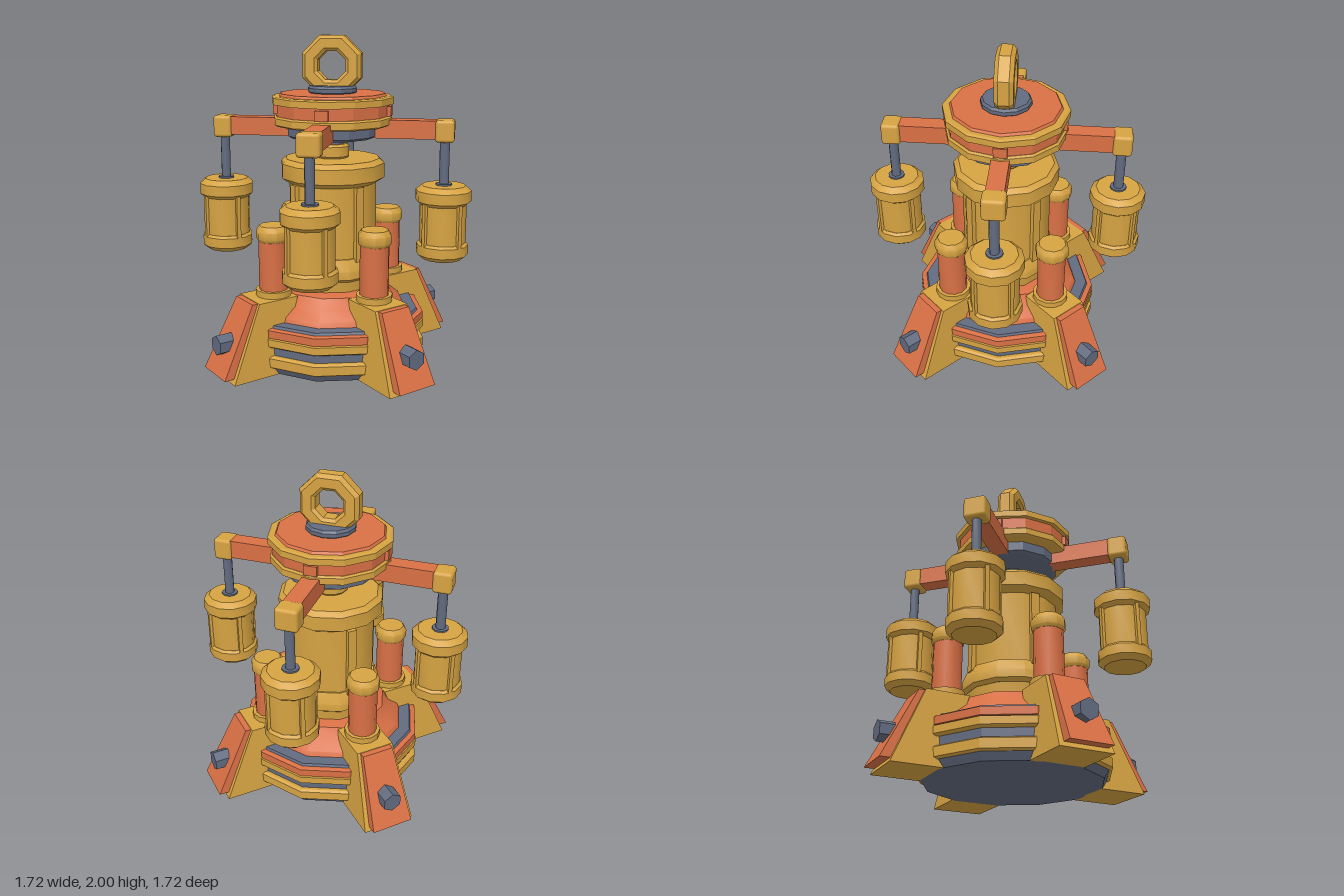
import * as THREE from 'three';
import { toCreasedNormals } from 'three/addons/utils/BufferGeometryUtils.js';
import { RoundedBoxGeometry } from 'three/addons/geometries/RoundedBoxGeometry.js';

const material = (name, color) => Object.assign(new THREE.MeshStandardMaterial({ color }), { name });
const SMOOTH = 0.6, FLAT = 0.2;

export function createModel() {
  const gold = material('gold', 0xd6a342);
  const orange = material('orange', 0xd97045);
  const steel = material('steel', 0x626b80);
  const model = new THREE.Group();
  model.name = 'clampMachine';

  const add = (parent, name, geometry, mat, x = 0, y = 0, z = 0) => {
    const mesh = new THREE.Mesh(geometry, mat);
    mesh.name = name;
    mesh.position.set(x, y, z);
    parent.add(mesh);
    return mesh;
  };
  // Closed turned part from [radius, height] pairs, bottom to top
  const turned = (points, sides = 12, crease = SMOOTH) => {
    const closed = [[0, points[0][1]], ...points, [0, points[points.length - 1][1]]];
    const lathe = new THREE.LatheGeometry(closed.map(([r, y]) => new THREE.Vector2(r, y)), sides);
    return toCreasedNormals(lathe, crease);
  };
  // Box whose bottom and top rectangles differ: { y, half, near, far }
  const wedge = (bottom, top) => {
    const g = new THREE.BoxGeometry(1, 1, 1);
    const p = g.attributes.position;
    for (let i = 0; i < p.count; i++) {
      const e = p.getY(i) < 0 ? bottom : top;
      p.setXYZ(i, Math.sign(p.getX(i)) * e.half, e.y, p.getZ(i) < 0 ? e.near : e.far);
    }
    g.computeVertexNormals();
    return g;
  };
  const around = (name, offset, build) => {
    for (let i = 0; i < 4; i++) {
      const group = new THREE.Group();
      group.name = name;
      group.rotation.y = offset + i * Math.PI / 2;
      build(group);
      model.add(group);
    }
  };

  // Stepped twelve-sided base
  const base = [
    ['baseFoot', steel, [[0.535, 0], [0.565, 0.05]]],
    ['baseLowerBand', gold, [[0.57, 0.045], [0.585, 0.055], [0.585, 0.11], [0.57, 0.12]]],
    ['baseGroove', steel, [[0.55, 0.12], [0.55, 0.18]]],
    ['baseUpperBand', gold, [[0.57, 0.175], [0.585, 0.185], [0.585, 0.23], [0.56, 0.238]]],
    ['baseOrangeBand', orange, [[0.58, 0.238], [0.58, 0.285], [0.56, 0.29]]],
    ['baseLedge', steel, [[0.55, 0.285], [0.54, 0.305]]],
  ];
  for (const [name, mat, points] of base) add(model, name, turned(points, 12, FLAT), mat);
  add(model, 'baseFlare', turned([[0.47, 0.3], [0.455, 0.335], [0.39, 0.39], [0.35, 0.45], [0.29, 0.465]]), orange);

  // Central body with collar and neck
  add(model, 'bodyFoot', turned([[0.28, 0.44], [0.29, 0.54]]), gold);
  add(model, 'bodyFlange', turned([[0.29, 0.53], [0.315, 0.55], [0.315, 0.6], [0.285, 0.67]]), gold);
  add(model, 'body', turned([[0.275, 0.65], [0.275, 1.13]]), gold);
  add(model, 'bodyCollar', turned([[0.28, 1.11], [0.325, 1.14], [0.325, 1.23], [0.295, 1.258]]), gold);
  add(model, 'neckCollar', turned([[0.09, 1.25], [0.105, 1.27], [0.105, 1.33], [0.09, 1.345]]), gold);
  add(model, 'neckShaft', turned([[0.075, 1.33], [0.075, 1.41]]), steel);
  around('bodyRib', Math.PI / 4, g => {
    add(g, 'bodyRibBar', new THREE.BoxGeometry(0.055, 0.46, 0.05), gold, 0, 0.88, 0.268);
  });

  // Head discs
  const head = [
    ['headUnderside', steel, [[0.26, 1.385], [0.285, 1.4], [0.285, 1.47]]],
    ['headLowerRing', gold, [[0.35, 1.46], [0.368, 1.47], [0.368, 1.51], [0.355, 1.52]]],
    ['headBand', orange, [[0.352, 1.51], [0.352, 1.6]]],
    ['headUpperRing', gold, [[0.378, 1.592], [0.378, 1.632], [0.365, 1.64]]],
    ['headTop', orange, [[0.338, 1.635], [0.325, 1.655]]],
    ['eyeSeat', steel, [[0.135, 1.65], [0.152, 1.662], [0.152, 1.685], [0.14, 1.7]]],
  ];
  for (const [name, mat, points] of head) add(model, name, turned(points, 12, FLAT), mat);

  // Octagonal lifting eye with bevelled edges
  const section = [[0.092, -0.04], [0.112, -0.056], [0.172, -0.056], [0.195, -0.032],
    [0.195, 0.032], [0.172, 0.056], [0.112, 0.056], [0.092, 0.04], [0.092, -0.04]];
  const eye = new THREE.LatheGeometry(section.map(([r, y]) => new THREE.Vector2(r, y)), 8);
  eye.rotateY(Math.PI / 8).rotateX(Math.PI / 2);
  add(model, 'liftingEye', toCreasedNormals(eye, FLAT), gold, 0, 1.82, 0);

  // Four arms, each with a hanging canister
  const podR = 0.69;
  around('arm', 0, g => {
    add(g, 'headStud', new THREE.BoxGeometry(0.08, 0.06, 0.06), orange, 0, 1.55, 0.335);
    add(g, 'armBeam', new THREE.BoxGeometry(0.105, 0.112, 0.42), orange, 0, 1.444, 0.45);
    add(g, 'armJoint', new RoundedBoxGeometry(0.135, 0.135, 0.115, 2, 0.02), gold, 0, 1.438, podR);
    const pod = new THREE.Group();
    pod.name = 'canister';
    pod.position.z = podR;
    g.add(pod);
    add(pod, 'hangerRod', turned([[0.03, 1.09], [0.03, 1.39]], 8, 0.8), steel);
    add(pod, 'hangerFoot', turned([[0.05, 1.095], [0.05, 1.115]]), steel);
    add(pod, 'canisterLid', turned([[0.14, 0.985], [0.17, 1.01], [0.17, 1.075], [0.135, 1.105]]), gold);
    add(pod, 'canisterBody', turned([[0.143, 0.73], [0.143, 1]]), gold);
    add(pod, 'canisterBottom', turned([[0.125, 0.645], [0.16, 0.675], [0.16, 0.735], [0.145, 0.75]]), gold);
    for (let i = 0; i < 4; i++) {
      const a = Math.PI / 4 + i * Math.PI / 2;
      const rib = add(pod, 'canisterRib', new THREE.BoxGeometry(0.026, 0.27, 0.03), gold,
        Math.sin(a) * 0.142, 0.867, Math.cos(a) * 0.142);
      rib.rotation.y = a;
    }
  });

  // Four diagonal legs with armour plate, bolt and post
  around('leg', Math.PI / 4, g => {
    add(g, 'legBlock', wedge({ y: 0, half: 0.163, near: 0.5, far: 0.805 },
      { y: 0.45, half: 0.12, near: 0.34, far: 0.605 }), gold);
    add(g, 'legPlate', wedge({ y: 0.028, half: 0.13, near: 0.76, far: 0.853 },
      { y: 0.447, half: 0.1, near: 0.56, far: 0.642 }), orange);
    const bolt = add(g, 'legBolt', new THREE.CylinderGeometry(0.062, 0.062, 0.1, 6).toNonIndexed(), steel, 0, 0.205, 0.787);
    bolt.geometry.computeVertexNormals();
    bolt.rotation.x = Math.PI / 2;
    const post = new THREE.Group();
    post.name = 'post';
    post.position.z = 0.437;
    g.add(post);
    add(post, 'postFoot', turned([[0.11, 0.445], [0.11, 0.488]]), gold);
    add(post, 'postTube', turned([[0.088, 0.48], [0.088, 0.81]]), orange);
    add(post, 'postCap', turned([[0.09, 0.79], [0.102, 0.808], [0.102, 0.855], [0.082, 0.885]], 10, 0.7), gold);
  });
  return model;
}
